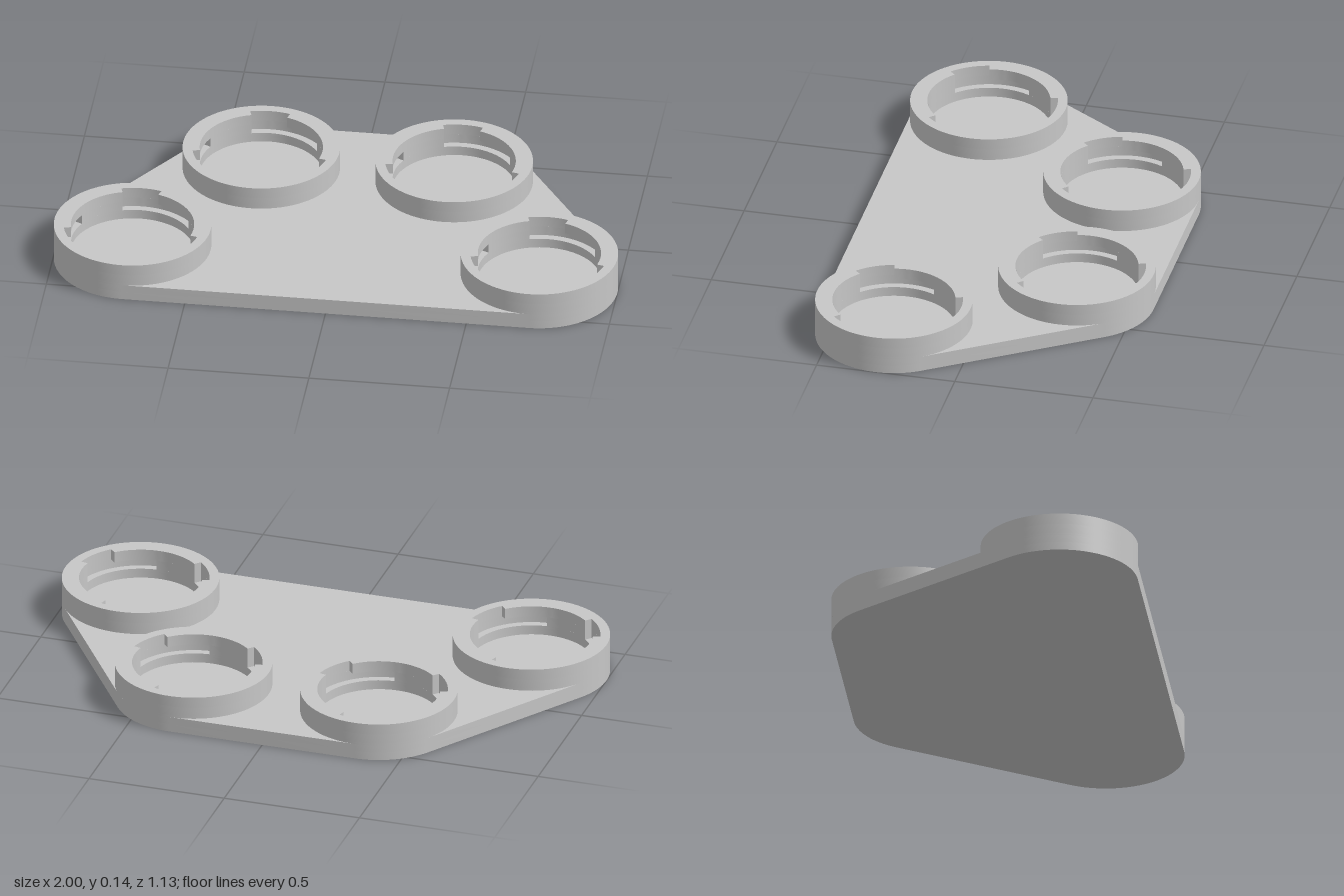
import * as THREE from 'three';
import { mergeGeometries, toCreasedNormals } from 'three/addons/utils/BufferGeometryUtils.js';

const R = 0.2775, R_IN = 0.217, R_SLOT = 0.243;   // cup outer, bore and slot radii
const FLOOR = 0.03, PLATE = 0.057, TOP = 0.14;    // heights
const SLOT_LOW = 0.065, SLOT_HIGH = 0.1;
const CUPS = [[0.3425, -0.286], [0.7225, 0.286], [-0.7225, 0.286], [-0.3425, -0.286]];

// Points of an arc on the ground plane; degrees run from +x towards +z
function arc(cx, cz, r, from, to) {
  const n = Math.max(2, Math.ceil(Math.abs(to - from) / 3.75));
  return Array.from({ length: n + 1 }, (_, i) => {
    const a = THREE.MathUtils.degToRad(from + (to - from) * i / n);
    return new THREE.Vector2(cx + r * Math.cos(a), -(cz + r * Math.sin(a)));
  });
}

const circle = (cx, cz, r) => arc(cx, cz, r, 0, 360).slice(0, -1);

// Upright slab between two heights, with smooth round walls and sharp edges;
// holes wind against the outline so that their walls face inwards
function slab(outline, holes, y0, y1) {
  const shape = new THREE.Shape(outline);
  shape.holes = holes.map((points) => new THREE.Path([...points].reverse()));
  const geo = new THREE.ExtrudeGeometry(shape, { depth: y1 - y0, bevelEnabled: false });
  geo.rotateX(-Math.PI / 2).translate(0, y0, 0);
  return toCreasedNormals(geo, 0.5);
}

// Bore outline with three recesses, each running from 13 degrees to the given end
function slottedBore(end) {
  const points = [];
  for (let k = 0; k < 3; k++) {
    const a = 120 * k;
    points.push(...arc(0, 0, R_SLOT, a + 13, a + end), ...arc(0, 0, R_IN, a + end, a + 133));
  }
  return points;
}

export function createModel() {
  const model = new THREE.Group();
  const grey = new THREE.MeshStandardMaterial({ color: 0xc6c6c6 });
  grey.name = 'grey plastic';

  const add = (name, geometry, x = 0, z = 0) => {
    const mesh = new THREE.Mesh(geometry, grey);
    mesh.name = name;
    mesh.position.set(x, 0, z);
    model.add(mesh);
  };

  // Rounded trapezoid plate: solid floor below, open wells above
  const slant = THREE.MathUtils.radToDeg(Math.atan2(0.38, 0.572));
  const spans = [[-90, -slant], [-slant, 90], [90, 180 + slant], [180 + slant, 270]];
  const outline = CUPS.flatMap(([x, z], i) => arc(x, z, R, ...spans[i]));
  add('plateFloor', slab(outline, [], 0, FLOOR));
  add('plateWells', slab(outline, CUPS.map(([x, z]) => circle(x, z, R_IN)), FLOOR, PLATE));

  // Twist-lock cup: plain foot, long locking slots, then short entry notches
  const ring = circle(0, 0, R);
  const cup = mergeGeometries([
    slab(ring, [circle(0, 0, R_IN)], PLATE, SLOT_LOW),
    slab(ring, [slottedBore(87)], SLOT_LOW, SLOT_HIGH),
    slab(ring, [slottedBore(47)], SLOT_HIGH, TOP),
  ]);
  const names = ['backLeftCup', 'frontLeftCup', 'frontRightCup', 'backRightCup'];
  CUPS.forEach(([x, z], i) => add(names[i], cup, x, z));

  return model;
}
